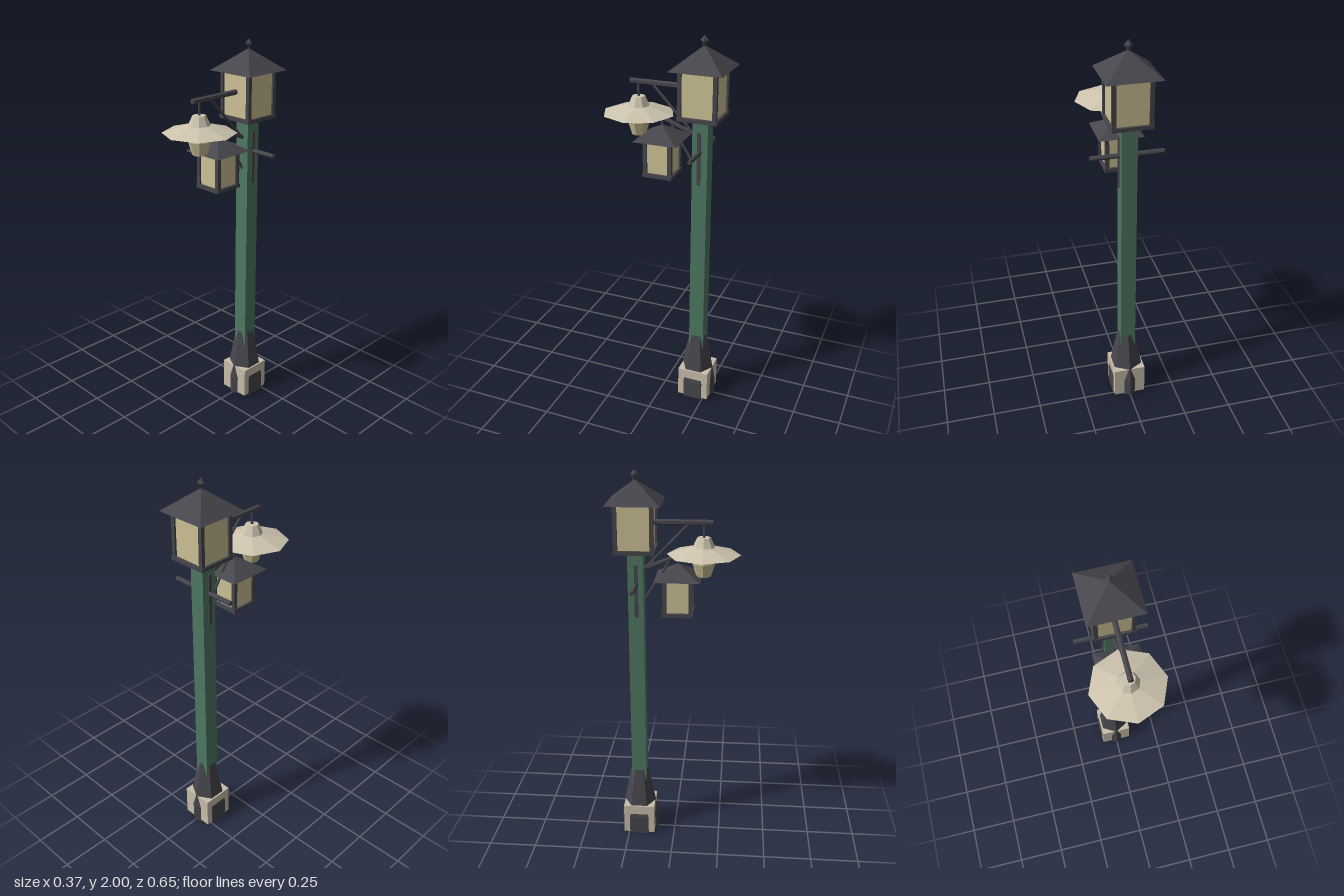
import * as THREE from 'three';

const mat = (name, color, extra = {}) => {
  const m = new THREE.MeshStandardMaterial({ color, flatShading: true, ...extra });
  m.name = name;
  return m;
};

export function createModel() {
  const iron = mat('dark iron', 0x47464c);
  const green = mat('green paint', 0x4f7863);
  const glass = mat('warm glass', 0xcdc195);
  const stone = mat('pale stone', 0xc9beab);
  const enamel = mat('pale enamel', 0xcdc3ae, { side: THREE.DoubleSide });
  const root = new THREE.Group();
  root.name = 'streetLamp';
  const POLE_Z = -0.193;

  const add = (parent, name, geo, material, x = 0, y = 0, z = 0) => {
    const m = new THREE.Mesh(geo, material);
    m.name = name;
    m.position.set(x, y, z);
    parent.add(m);
    return m;
  };
  const box = (w, h, d) => new THREE.BoxGeometry(w, h, d);
  const lathe = (pts, sides) =>
    new THREE.LatheGeometry(pts.map(([r, y]) => new THREE.Vector2(r, y)), sides);

  // Straight bar between two points
  const bar = (name, a, b, r, sides = 6) => {
    const p = new THREE.Vector3(...a), q = new THREE.Vector3(...b);
    const m = add(root, name, new THREE.CylinderGeometry(r, r, p.distanceTo(q), sides), iron);
    m.position.copy(p).add(q).multiplyScalar(0.5);
    m.quaternion.setFromUnitVectors(new THREE.Vector3(0, 1, 0), q.sub(p).normalize());
    return m;
  };

  // Square lantern: floor slab, glass, corner posts and pyramid roof
  const lantern = (name, z, y0, y1, half, roofHalf, roofH) => {
    const g = new THREE.Group();
    g.name = name;
    g.position.z = z;
    const slab = 0.02, h = y1 - y0 - slab, mid = y0 + slab + h / 2, post = 0.02;
    add(g, 'lanternFloor', box(half * 2 + 0.006, slab, half * 2 + 0.006), iron, 0, y0 + slab / 2, 0);
    add(g, 'lanternGlass', box(half * 2 - 0.02, h, half * 2 - 0.02), glass, 0, mid, 0);
    for (const sx of [-1, 1]) for (const sz of [-1, 1])
      add(g, 'lanternPost', box(post, h, post), iron, sx * (half - post / 2), mid, sz * (half - post / 2));
    const roof = new THREE.ConeGeometry(roofHalf * Math.SQRT2, roofH, 4).rotateY(Math.PI / 4);
    add(g, 'lanternRoof', roof, iron, 0, y1 + roofH / 2, 0);
    root.add(g);
    return g;
  };

  // Base: hexagonal iron foot pushing through a stone block
  add(root, 'foot', lathe([[0.101, 0], [0.101, 0.1], [0.047, 0.38], [0, 0.38]], 6), iron, 0, 0, POLE_Z);
  add(root, 'stoneBlock', box(0.168, 0.165, 0.168), stone, 0, 0.0895, POLE_Z);

  // Pole with side straps and crossbar
  add(root, 'pole', box(0.079, 1.45, 0.079), green, 0, 0.885, POLE_Z);
  for (const s of [-1, 1])
    add(root, 'poleStrap', box(0.01, 0.27, 0.018), iron, s * 0.041, 1.405, POLE_Z + 0.003);
  bar('crossbar', [-0.183, 1.44, POLE_Z], [0.183, 1.44, POLE_Z], 0.012);

  // Top lantern with diamond finial
  const top = lantern('topLantern', POLE_Z, 1.605, 1.845, 0.098, 0.134, 0.108);
  add(top, 'finial', lathe([[0.008, 1.935], [0.008, 1.955], [0.021, 1.976], [0, 2.0]], 4), iron);

  // Lower lantern on its sloping arm
  lantern('lowerLantern', 0.018, 1.285, 1.475, 0.075, 0.114, 0.07);
  bar('lowerArm', [0, 1.587, 0.028], [0, 1.51, -0.165], 0.011);
  bar('lowerHanger', [0, 1.53, 0.018], [0, 1.587, 0.018], 0.006);
  bar('lowerBrace', [0, 1.55, -0.03], [0, 1.345, -0.158], 0.007);

  // Upper arm, brace and hanger
  bar('upperArm', [0, 1.75, 0.186], [0, 1.75, -0.11], 0.014);
  bar('upperBrace', [0, 1.745, 0.07], [0, 1.505, -0.158], 0.007);
  bar('shadeHanger', [0, 1.67, 0.143], [0, 1.75, 0.143], 0.007);

  // Hanging lamp: octagonal shade over a faceted glass
  add(root, 'lampShade',
    lathe([[0.183, 1.592], [0.055, 1.63], [0.033, 1.677], [0, 1.677]], 8), enamel, 0, 0, 0.143);
  add(root, 'lampGlass',
    lathe([[0, 1.483], [0.037, 1.483], [0.057, 1.55], [0.045, 1.625]], 8), glass, 0, 0, 0.143);

  return root;
}
